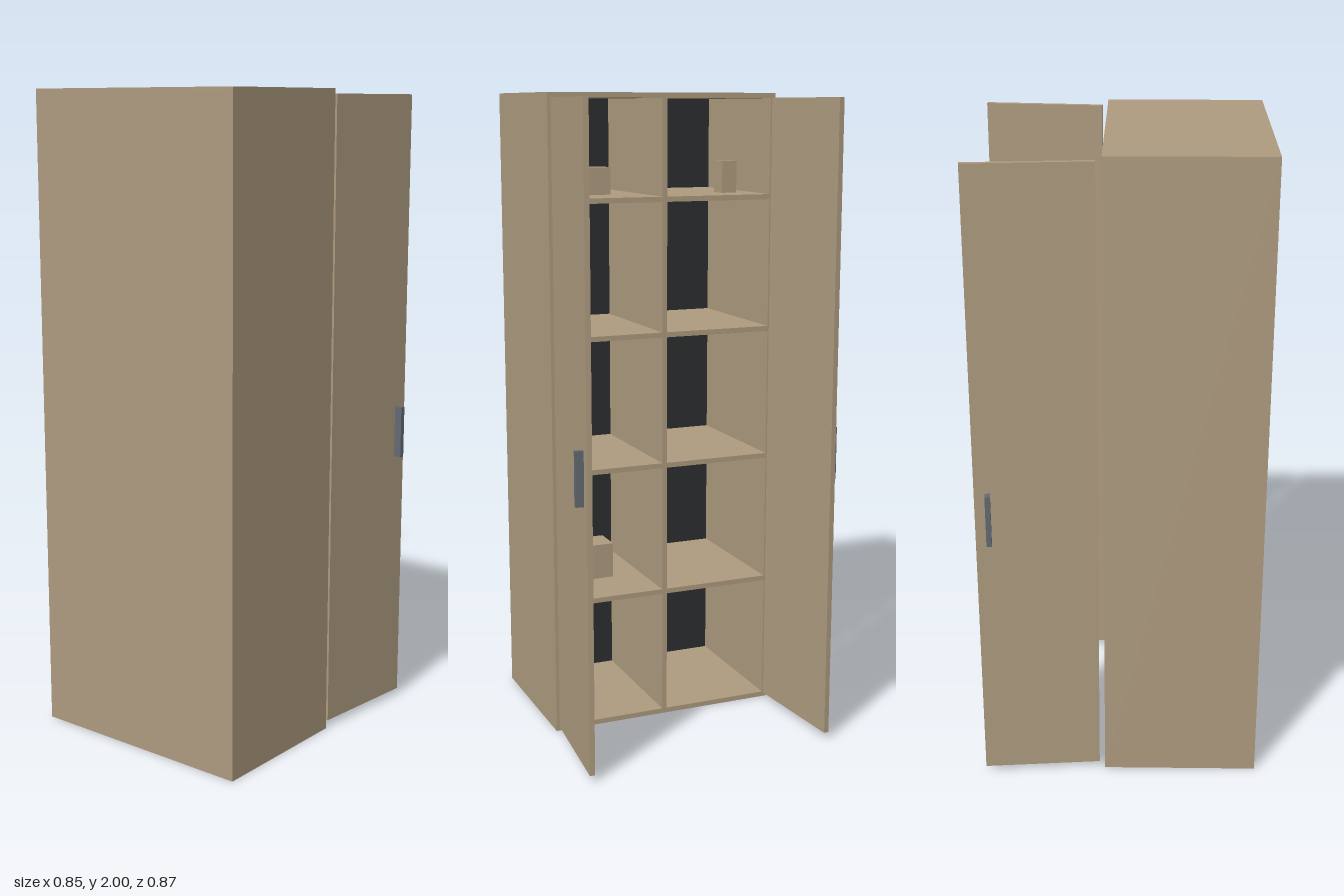
import * as THREE from 'three';

const wood = new THREE.MeshStandardMaterial({ color: 0xae9b7f });
wood.name = 'wood';
const metal = new THREE.MeshStandardMaterial({ color: 0x636a72 });
metal.name = 'handle metal';
const dark = new THREE.MeshStandardMaterial({ color: 0x2b2d2f });
dark.name = 'dark lining';

const T = 0.016; // board thickness
const HALF = 0.375, OPEN_Z = -0.05, REAR_Z = 0.432;
const DEPTH = REAR_Z - OPEN_Z, MID_Z = (REAR_Z + OPEN_Z) / 2;

function box(parent, name, size, pos, mat = wood) {
  const mesh = new THREE.Mesh(new THREE.BoxGeometry(...size), mat);
  mesh.position.set(...pos);
  mesh.name = name;
  parent.add(mesh);
}

// Item standing on a shelf whose upper face is at y
function crate(parent, y, x, z, w, h, d) {
  box(parent, 'storedBox', [w, h, d], [x, y + h / 2, z]);
}
function can(parent, y, x, z, h, r = 0.028) {
  const mesh = new THREE.Mesh(new THREE.CylinderGeometry(r, r, h, 12), wood);
  mesh.position.set(x, y + h / 2, z);
  mesh.name = 'storedCan';
  parent.add(mesh);
}

function buildDoor(s) {
  const door = new THREE.Group();
  door.name = s > 0 ? 'leftDoor' : 'rightDoor';
  // Hinged at the open side and swung wide
  door.position.set(s * 0.362, 0, -0.068);
  door.rotation.y = -s * 0.087;
  box(door, 'doorPanel', [T, 1.965, 0.366], [0, 1.0025, -0.183]);
  box(door, 'doorHandle', [0.025, 0.165, 0.016], [s * 0.0205, 0.918, -0.326], metal);
  return door;
}

export function createModel() {
  const cabinet = new THREE.Group();
  cabinet.name = 'cabinet';

  // Carcass
  const carcass = new THREE.Group();
  carcass.name = 'carcass';
  cabinet.add(carcass);
  const inner = 2 * (HALF - T);
  for (const s of [1, -1]) {
    box(carcass, s > 0 ? 'leftSide' : 'rightSide', [T, 2, DEPTH], [s * (HALF - T / 2), 1, MID_Z]);
  }
  box(carcass, 'topPanel', [inner, T, DEPTH], [0, 2 - T / 2, MID_Z]);
  box(carcass, 'bottomPanel', [inner, T, DEPTH], [0, T / 2, MID_Z]);
  box(carcass, 'rearPanel', [inner, 2 - 2 * T, T], [0, 1, REAR_Z - T / 2]);
  box(carcass, 'rearLining', [inner, 2 - 2 * T, 0.004], [0, 1, REAR_Z - T - 0.002], dark);
  const clear = DEPTH - T - 0.004;
  const clearZ = OPEN_Z + clear / 2;
  box(carcass, 'divider', [T, 2 - 2 * T, clear], [0, 1, clearZ]);

  // Shelves in both bays
  const levels = [0.42, 0.84, 1.26, 1.68];
  const bay = HALF - 1.5 * T;
  for (const y of levels) {
    for (const s of [1, -1]) {
      box(carcass, 'shelf', [bay, T, clear], [s * (T / 2 + bay / 2), y, clearZ]);
    }
  }

  // Stored items
  const items = new THREE.Group();
  items.name = 'storedItems';
  cabinet.add(items);
  const [s1, s2, s3, s4] = levels.map((y) => y + T / 2);
  crate(items, s1, 0.157, 0.185, 0.1, 0.115, 0.1);
  crate(items, s2, 0.31, 0.265, 0.062, 0.145, 0.21);
  can(items, s2, 0.27, 0.105, 0.08);
  can(items, s3, 0.257, 0.075, 0.09);
  can(items, s3, 0.244, 0.21, 0.085);
  crate(items, s4, 0.155, 0.155, 0.08, 0.085, 0.08);
  can(items, s4, 0.262, 0.28, 0.075);
  crate(items, s4, -0.275, 0.1, 0.05, 0.1, 0.06);

  // Open doors
  for (const s of [1, -1]) cabinet.add(buildDoor(s));
  return cabinet;
}
